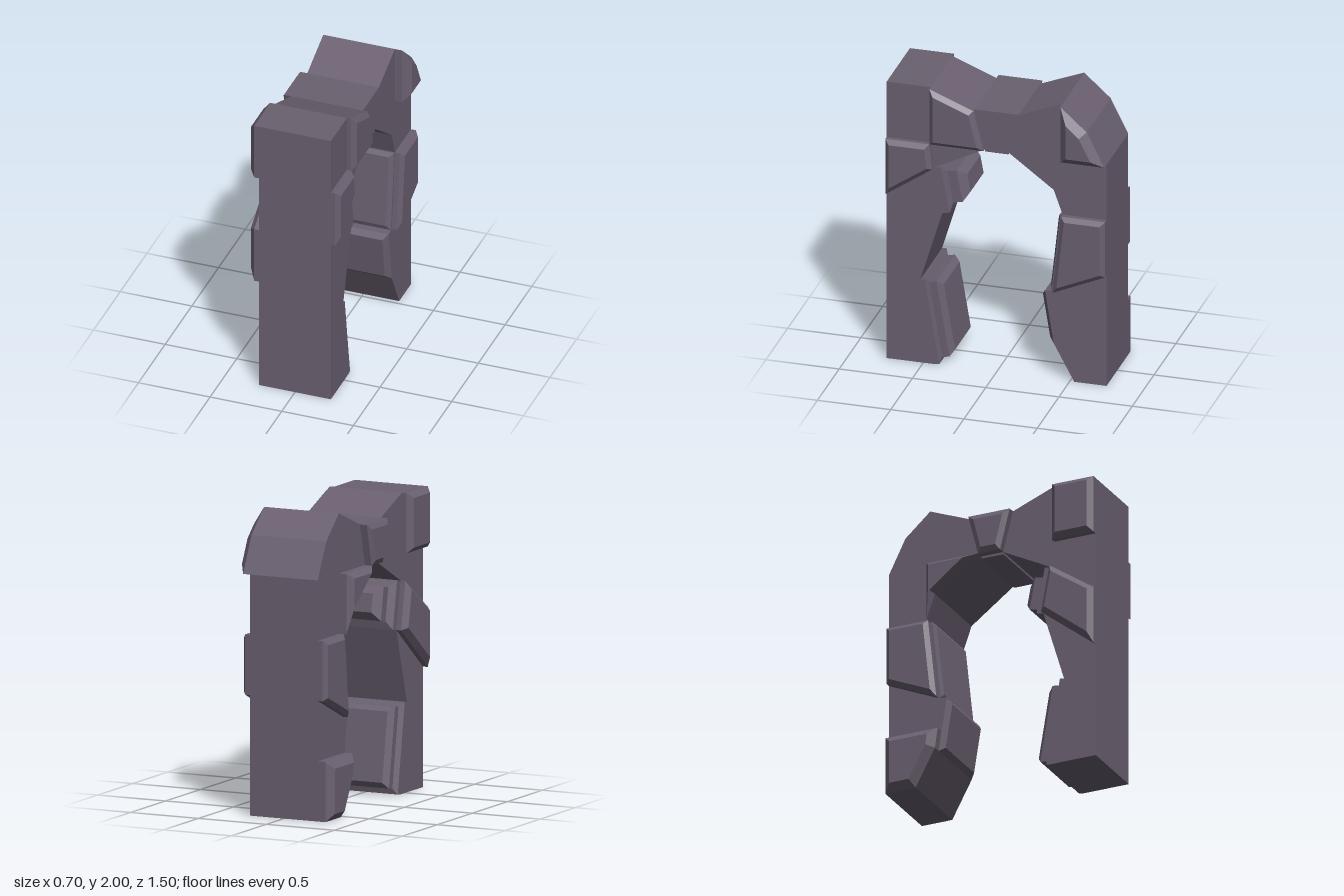
import * as THREE from 'three';

const material = new THREE.MeshStandardMaterial({ color: 0x6a6070, flatShading: true });
const HALF = 0.25; // half width of the arch in x

// Shrinks a convex counter-clockwise polygon by moving every edge inward.
function inset(points, d) {
  return points.map((p, i) => {
    const a = points[(i + points.length - 1) % points.length];
    const b = points[(i + 1) % points.length];
    const e = p.clone().sub(a).normalize();
    const f = b.clone().sub(p).normalize();
    const n = new THREE.Vector2(-e.y - f.y, e.x + f.x);
    return p.clone().addScaledVector(n, d / (1 + e.dot(f)));
  });
}

// Bevelled stone: a polygon in XY raised along Z through steps of [inset, height].
function stoneGeometry(polygon, steps) {
  const base = polygon.map(([x, y]) => new THREE.Vector2(x, y));
  if (THREE.ShapeUtils.area(base) < 0) base.reverse();
  const rings = steps.map(([d, h]) => inset(base, d).map((p) => [p.x, p.y, h]));
  const pos = [];
  const n = base.length;
  for (let r = 0; r < rings.length - 1; r++) {
    for (let i = 0; i < n; i++) {
      const j = (i + 1) % n;
      const [a, b, c, d] = [rings[r][i], rings[r][j], rings[r + 1][j], rings[r + 1][i]];
      pos.push(...a, ...b, ...c, ...a, ...c, ...d);
    }
  }
  const top = rings[rings.length - 1];
  for (let i = 1; i < n - 1; i++) pos.push(...top[0], ...top[i], ...top[i + 1]);
  const g = new THREE.BufferGeometry();
  g.setAttribute('position', new THREE.Float32BufferAttribute(pos, 3));
  return g;
}

export function createModel() {
  const model = new THREE.Group();
  model.name = 'stoneArch';

  const add = (name, geometry) => {
    geometry.computeVertexNormals();
    const mesh = new THREE.Mesh(geometry, material);
    mesh.name = name;
    model.add(mesh);
  };

  // Stone on a flat side of the arch (side +1 or -1); outline given as [z, y].
  const sideStone = (name, side, outline, straight, depth, bevel) => {
    const g = stoneGeometry(outline.map(([z, y]) => [-side * z, y]),
      [[0, 0], [0, straight], [bevel, depth]]);
    g.applyMatrix4(new THREE.Matrix4().makeBasis(
      new THREE.Vector3(0, 0, -side), new THREE.Vector3(0, 1, 0), new THREE.Vector3(side, 0, 0)
    ).setPosition(side * HALF, 0, 0));
    add(name, g);
  };

  // Full-width stone on the opening's inner face, from a to b, each [z, y].
  const innerStone = (name, a, b, steps) => {
    const start = new THREE.Vector3(0, a[1], a[0]);
    const along = new THREE.Vector3(0, b[1], b[0]).sub(start);
    const length = along.length();
    along.normalize();
    const across = new THREE.Vector3(1, 0, 0);
    const out = across.clone().cross(along);
    const g = stoneGeometry([[-HALF, 0], [HALF, 0], [HALF, length], [-HALF, length]], steps);
    g.applyMatrix4(new THREE.Matrix4().makeBasis(across, along, out).setPosition(start));
    add(name, g);
  };

  // Arch body, profile as [z, y]
  const profile = [
    [0.75, 0], [0.75, 2], [0.45, 2], [0.15, 1.88], [-0.15, 1.88], [-0.45, 2],
    [-0.63, 1.84], [-0.75, 1.6], [-0.75, 0], [-0.53, 0], [-0.39, 0.26], [-0.33, 0.635],
    [-0.39, 0.64], [-0.45, 1.2], [-0.39, 1.37], [-0.08, 1.6], [0.08, 1.6],
    [0.43, 1.42], [0.37, 1.1], [0.52, 0.6], [0.42, 0],
  ];
  const shape = new THREE.Shape(profile.map(([z, y]) => new THREE.Vector2(-z, y)));
  const body = new THREE.ExtrudeGeometry(shape, { depth: 2 * HALF, bevelEnabled: false });
  body.translate(0, 0, -HALF).rotateY(Math.PI / 2);
  add('archBody', body);

  // Stones on the +x side
  sideStone('leftHaunchStone', 1, [[0.45, 2], [0.15, 1.88], [0.08, 1.6], [0.45, 1.6]], 0.03, 0.06, 0.03);
  sideStone('leftFrontStone', 1, [[0.75, 1.6], [0.45, 1.6], [0.43, 1.42], [0.75, 1.2]], 0.03, 0.06, 0.03);
  sideStone('leftBackCornerStone', 1, [[-0.45, 2], [-0.63, 1.84], [-0.75, 1.6], [-0.45, 1.6]], 0.05, 0.1, 0.05);

  // Matching stones on both sides of the back leg
  for (const side of [1, -1]) {
    sideStone(side > 0 ? 'leftBackLegStone' : 'rightBackLegStone', side,
      [[-0.45, 1.2], [-0.75, 1.2], [-0.75, 0.8], [-0.39, 0.64]], 0.035, 0.06, 0.03);
  }

  // Stones on the -x side
  sideStone('rightFrontCornerStone', -1, [[0.75, 2], [0.45, 2], [0.45, 1.6], [0.75, 1.6]], 0.035, 0.07, 0.035);
  sideStone('rightFrontLegStone', -1, [[0.75, 1.2], [0.43, 1.42], [0.37, 1.1], [0.75, 0.8]], 0.035, 0.07, 0.035);
  sideStone('rightKeystone', -1, [[0.15, 1.88], [-0.15, 1.88], [-0.08, 1.6], [0.08, 1.6]], 0.05, 0.07, 0.035);
  sideStone('rightHaunchStone', -1, [[-0.08, 1.6], [-0.45, 1.6], [-0.45, 1.2], [-0.39, 1.37]], 0.055, 0.1, 0.03);
  sideStone('rightFootStone', -1,
    [[-0.75, 0], [-0.53, 0], [-0.39, 0.26], [-0.37, 0.4], [-0.75, 0.4]], 0.055, 0.1, 0.05);

  // Stones lining the opening
  innerStone('frontLegUpperStone', [0.43, 1.42], [0.37, 1.1],
    [[0, 0], [0, 0.05], [0.05, 0.07], [0.05, 0.135], [0.1, 0.185]]);
  innerStone('frontLegLowerStone', [0.52, 0.6], [0.42, 0],
    [[0, 0], [0, 0.03], [0.035, 0.045], [0.035, 0.095], [0.07, 0.13]]);
  innerStone('backLegUpperStone', [-0.39, 0.64], [-0.45, 1.2], [[0, 0], [0, 0.015], [0.03, 0.03]]);
  innerStone('backLegLowerStone', [-0.39, 0.26], [-0.33, 0.635], [[0, 0], [0.035, 0.03]]);
  innerStone('keystoneUnderside', [-0.08, 1.6], [0.08, 1.6], [[0, 0], [0, 0.015], [0.01, 0.02]]);

  return model;
}
